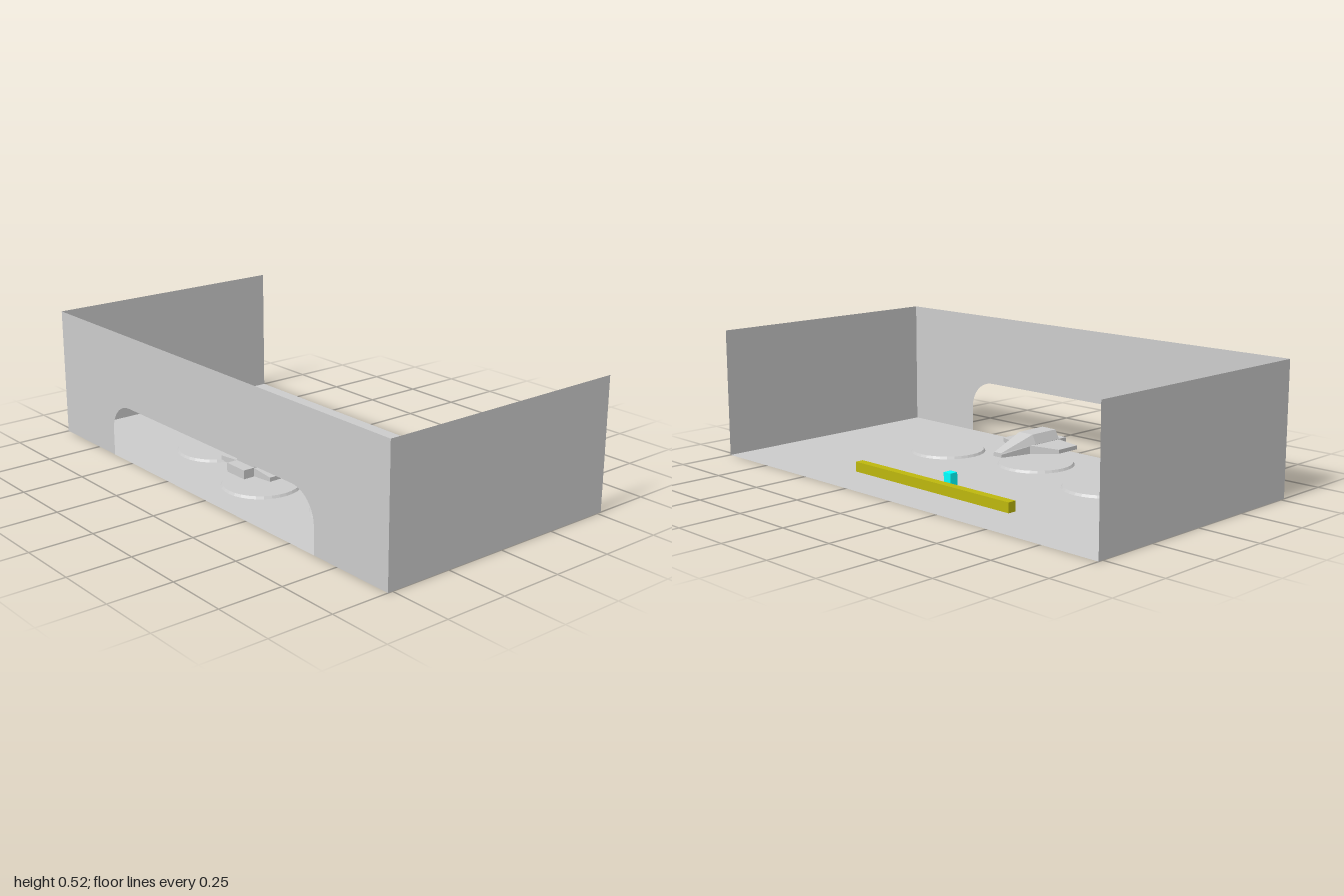
import * as THREE from 'three';

const material = (color, side = THREE.FrontSide) =>
  new THREE.MeshStandardMaterial({ color, side, flatShading: true });
const grey = material(0xcccccc);
const sheet = material(0xcccccc, THREE.DoubleSide);

function add(parent, name, geometry, mat, x = 0, y = 0, z = 0) {
  const mesh = new THREE.Mesh(geometry, mat);
  mesh.name = name;
  mesh.position.set(x, y, z);
  parent.add(mesh);
  return mesh;
}

// Closed solid through rings of equal length, each counter-clockwise seen from the last ring's end
function loft(rings) {
  const n = rings[0].length, last = (rings.length - 1) * n, index = [];
  for (let r = 0; r < rings.length - 1; r++) {
    for (let i = 0; i < n; i++) {
      const a = r * n + i, b = r * n + (i + 1) % n;
      index.push(a, b, b + n, a, b + n, a + n);
    }
  }
  for (let i = 1; i < n - 1; i++) index.push(0, i + 1, i, last, last + i, last + i + 1);
  const geometry = new THREE.BufferGeometry();
  geometry.setAttribute('position', new THREE.Float32BufferAttribute(rings.flat(2), 3));
  geometry.setIndex(index);
  const flat = geometry.toNonIndexed();
  flat.computeVertexNormals();
  return flat;
}

export function createModel() {
  const model = new THREE.Group();
  model.name = 'hangar';
  const W = 1, H = 0.52, D = 0.52;

  // Floor and side walls, open above and behind
  add(model, 'floor', new THREE.PlaneGeometry(2 * W, 2 * D).rotateX(-Math.PI / 2), sheet);
  for (const s of [-1, 1]) {
    add(model, s > 0 ? 'leftWall' : 'rightWall',
      new THREE.PlaneGeometry(2 * D, H).rotateY(s * Math.PI / 2), sheet, s * W, H / 2, 0);
  }

  // Front wall with a wide rounded doorway
  const w = 0.63, h = 0.225, r = 0.12;
  const front = new THREE.Shape();
  front.moveTo(-W, 0).lineTo(-w, 0).lineTo(-w, h - r);
  front.absarc(-w + r, h - r, r, Math.PI, Math.PI / 2, true);
  front.lineTo(w - r, h);
  front.absarc(w - r, h - r, r, Math.PI / 2, 0, true);
  front.lineTo(w, 0).lineTo(W, 0).lineTo(W, H).lineTo(-W, H);
  add(model, 'frontWall', new THREE.ShapeGeometry(front, 10), sheet, 0, 0, D);

  // Landing pads with a slight bevel
  for (const [x, z] of [[-0.425, 0.17], [0, 0.26], [0.42, 0.17]]) {
    add(model, 'landingPad', new THREE.CylinderGeometry(0.15, 0.156, 0.01, 32), grey, x, 0.005, z);
  }

  // Coloured barrier and small marker block
  add(model, 'barrier', new THREE.BoxGeometry(0.84, 0.04, 0.035), material(0xbdb70e), 0, 0.02, -0.312);
  add(model, 'marker', new THREE.BoxGeometry(0.036, 0.06, 0.036), material(0x00ffff), -0.02, 0.03, -0.233);

  // Small craft with its nose towards the back
  const craft = new THREE.Group();
  craft.name = 'craft';
  model.add(craft);
  const section = (z, half, top, y0, y1, y2) => [
    [-half, y0, z], [half, y0, z], [half, y1, z], [top, y2, z], [-top, y2, z], [-half, y1, z]];
  add(craft, 'fuselage', loft([
    section(0.04, 0.022, 0.018, 0.068, 0.08, 0.085),
    section(0.2, 0.055, 0.036, 0.065, 0.1, 0.137),
    section(0.335, 0.055, 0.036, 0.065, 0.1, 0.137),
  ]), grey);
  add(craft, 'engine', new THREE.BoxGeometry(0.106, 0.035, 0.05), grey, 0, 0.0825, 0.356);
  const profile = (x, z0, y0, y1) => [[x, y0, 0.335], [x, y0, z0], [x, y1, z0], [x, y1, 0.335]];
  const wing = loft([profile(0.045, 0.17, 0.065, 0.1), profile(0.152, 0.228, 0.074, 0.09)]);
  for (const s of [-1, 1]) add(craft, s > 0 ? 'leftWing' : 'rightWing', wing, grey).scale.x = s;

  return model;
}
